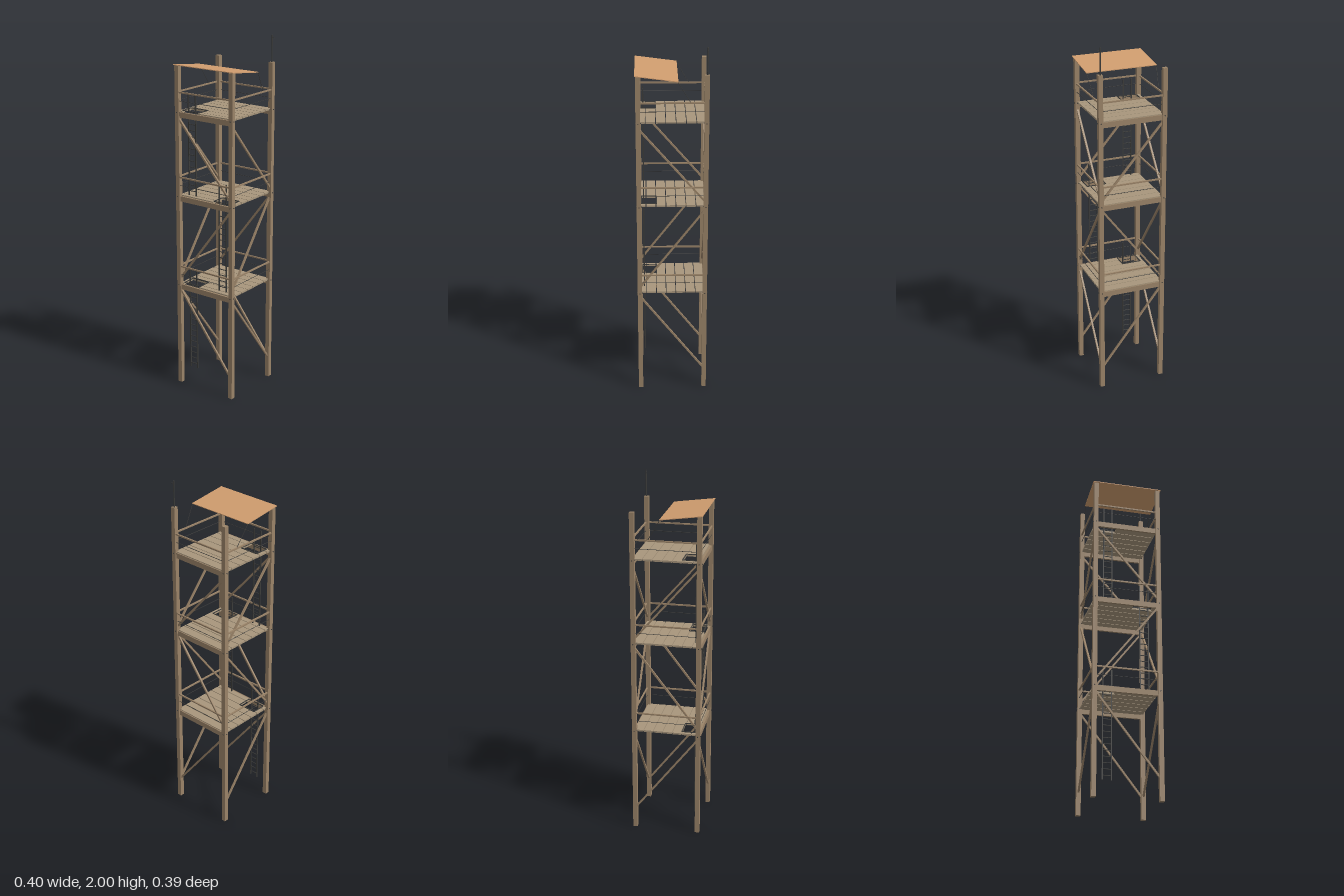
import * as THREE from 'three';

const wood = new THREE.MeshStandardMaterial({ color: 0x9a8368, flatShading: true });
const plankWood = new THREE.MeshStandardMaterial({ color: 0xa8967c, flatShading: true });
const metal = new THREE.MeshStandardMaterial({ color: 0x3c3c3a });
const roofMat = new THREE.MeshStandardMaterial({ color: 0xcf9c6e, flatShading: true });

const P = 0.18;        // post centre offset
const POST = 0.025;    // post thickness
const INNER = P - POST / 2;

function add(parent, name, geometry, material, x = 0, y = 0, z = 0) {
  const mesh = new THREE.Mesh(geometry, material);
  mesh.name = name;
  mesh.position.set(x, y, z);
  parent.add(mesh);
  return mesh;
}

function box(parent, name, mat, w, h, d, x, y, z) {
  return add(parent, name, new THREE.BoxGeometry(w, h, d), mat, x, y, z);
}

// Bar between two points: square when sides is 4, otherwise a round rod
function bar(parent, name, mat, a, b, thickness, sides = 4) {
  const from = new THREE.Vector3(...a), to = new THREE.Vector3(...b);
  const length = from.distanceTo(to);
  const geometry = sides === 4
    ? new THREE.BoxGeometry(thickness, length, thickness)
    : new THREE.CylinderGeometry(thickness / 2, thickness / 2, length, sides);
  const mesh = add(parent, name, geometry, mat);
  mesh.position.copy(from).add(to).multiplyScalar(0.5);
  mesh.quaternion.setFromUnitVectors(new THREE.Vector3(0, 1, 0), to.sub(from).normalize());
  return mesh;
}

function createPlatform(top, hatchX) {
  const g = new THREE.Group();
  g.name = 'platform';
  const plankH = 0.01, pitch = 0.054, gap = 0.004;
  const h0 = hatchX - 0.055, h1 = hatchX + 0.055;

  // Planks run across x; the front ones stop at the ladder hatch
  for (let i = 0; i < 7; i++) {
    const z0 = -0.18 + i * pitch, z1 = Math.min(z0 + pitch - gap, 0.172);
    const spans = z0 > 0.08 ? [[-P, h0], [h1, P]] : [[-P, P]];
    for (const [a, b] of spans) {
      box(g, 'plank', plankWood, b - a, plankH, z1 - z0, (a + b) / 2, top - plankH / 2, (z0 + z1) / 2);
    }
  }

  // Beams under the front and back edges
  for (const s of [-1, 1]) {
    box(g, 'edgeBeam', wood, 2 * INNER, 0.03, 0.012, 0, top - 0.02, s * 0.18);
  }

  // Hatch frame
  const y = top + 0.002, f = 0.085, e = 0.166;
  const corners = [[h0, y, f], [h1, y, f], [h1, y, e], [h0, y, e]];
  corners.forEach((c, i) => bar(g, 'hatchFrame', metal, c, corners[(i + 1) % 4], 0.004));

  // Handrails and mid wires on all four sides
  for (const s of [-1, 1]) {
    const r = s * 0.185;
    for (const [name, h, t, mat, sides] of [['handrail', 0.103, 0.008, wood, 4], ['midWire', 0.056, 0.003, metal, 6]]) {
      bar(g, name, mat, [-INNER, top + h, r], [INNER, top + h, r], t, sides);
      bar(g, name, mat, [r, top + h, -INNER], [r, top + h, INNER], t, sides);
    }
  }

  // Bolts through the posts
  for (const sx of [-P, P]) for (const sz of [-P, P]) {
    bar(g, 'bolt', metal, [sx - 0.016, top - 0.008, sz], [sx + 0.016, top - 0.008, sz], 0.006, 6);
    bar(g, 'bolt', metal, [sx, top - 0.008, sz - 0.016], [sx, top - 0.008, sz + 0.016], 0.006, 6);
  }
  return g;
}

function createLadder(x, y0, y1) {
  const g = new THREE.Group();
  g.name = 'ladder';
  const z = 0.155, half = 0.024;
  for (const s of [-half, half]) bar(g, 'ladderRail', metal, [x + s, y0, z], [x + s, y1, z], 0.006);
  for (let y = y0 + 0.025; y < y1 - 0.1; y += 0.034) {
    bar(g, 'rung', metal, [x - half, y, z], [x + half, y, z], 0.005, 6);
  }
  return g;
}

export function createModel() {
  const model = new THREE.Group();
  model.name = 'watchtower';

  // Corner posts
  for (const sx of [-P, P]) for (const sz of [-P, P]) {
    const h = sz > 0 ? 1.85 : 1.855;
    box(model, 'post', wood, POST, h, POST, sx, h / 2, sz);
  }

  // Storeys: deck height, hatch side, ladder span, brace heights at -x and +x
  const storeys = [
    { top: 0.612, x: -0.104, ladder: [0.1, 0.712], brace: [0.575, 0.125] },
    { top: 1.132, x: 0.101, ladder: [0.62, 1.235], brace: [0.645, 1.1] },
    { top: 1.604, x: -0.104, ladder: [1.135, 1.705], brace: [1.56, 1.155] },
  ];
  for (const { top, x, ladder, brace: [ya, yb] } of storeys) {
    model.add(createPlatform(top, x < 0 ? -0.105 : 0.105));
    model.add(createLadder(x, ...ladder));
    for (const s of [-P, P]) {
      bar(model, 'brace', wood, [-0.174, ya, s], [0.174, yb, s], 0.01);
      bar(model, 'brace', wood, [s, ya, 0.174], [s, yb, -0.174], 0.01);
    }
  }

  // Sloping roof sheet
  const rise = 0.03, run = 0.227;
  const roof = box(model, 'roof', roofMat, 0.397, 0.004, Math.hypot(rise, run), 0, 1.839, 0.083);
  roof.rotation.x = -Math.atan2(rise, run);

  // Stay ropes from the roof's rear corners to the side handrails
  for (const s of [-1, 1]) {
    bar(model, 'stayRope', metal, [s * 0.197, 1.823, -0.028], [s * 0.183, 1.705, -0.098], 0.003, 6);
  }

  // Mast on the rear left post
  bar(model, 'mast', metal, [0.178, 1.85, -0.182], [0.178, 2, -0.182], 0.007, 8);
  bar(model, 'mastArm', metal, [0.178, 1.985, -0.182], [0.195, 1.985, -0.182], 0.004, 6);

  return model;
}
